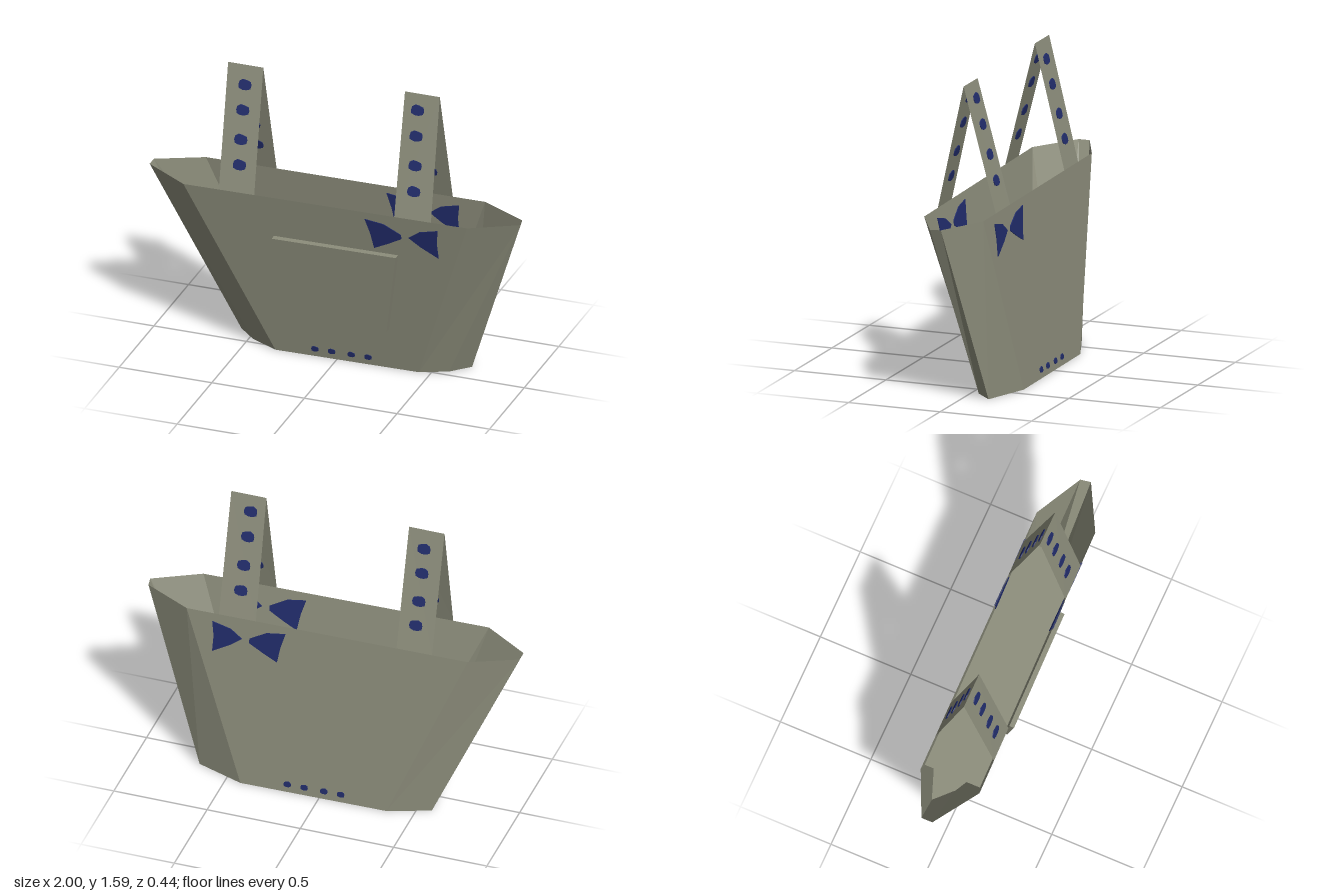
import * as THREE from 'three';

const H = 0.945; // rim height
const APEX = { y: 1.59, z: 0.05 };

// z of the sloping front and back panels at a given point
const frontZ = (x, y) => 0.03 - 0.02 * x + 0.17 * (y / H);
const backZ = (x, y) => -0.215 - 0.0133 * x + 0.095 * (y / H);

const polygon = (pts) => new THREE.Shape(pts.map(([x, y]) => new THREE.Vector2(x, y)));

// Lays a flat outline on a sloping surface, from offset z0 to z0 + depth
function drape(shape, depth, z0, surface) {
  const geo = depth > 0
    ? new THREE.ExtrudeGeometry(shape, { depth, bevelEnabled: false })
    : new THREE.ShapeGeometry(shape);
  const p = geo.attributes.position;
  for (let i = 0; i < p.count; i++) {
    p.setZ(i, p.getZ(i) + z0 + surface(p.getX(i), p.getY(i)));
  }
  geo.computeVertexNormals();
  return geo;
}

// Slightly uneven round patch
function blob(cx, cy, rx, ry) {
  const pts = [];
  for (let i = 0; i < 10; i++) {
    const a = (i / 10) * Math.PI * 2;
    const k = 1 + 0.08 * Math.sin(i * 2.3);
    pts.push([cx + rx * k * Math.cos(a), cy + ry * k * Math.sin(a)]);
  }
  return polygon(pts);
}

function facets(triangles) {
  const geo = new THREE.BufferGeometry();
  geo.setAttribute('position', new THREE.Float32BufferAttribute(triangles.flat(), 3));
  geo.computeVertexNormals();
  return geo;
}

export function createModel() {
  const bag = new THREE.Group();
  bag.name = 'toteBag';

  const canvas = new THREE.MeshStandardMaterial({ color: 0x8c8d7b, side: THREE.DoubleSide, flatShading: true });
  canvas.name = 'olive canvas';
  const paint = new THREE.MeshStandardMaterial({ color: 0x212c6b, flatShading: true });
  paint.name = 'navy paint';

  const add = (name, geo, mat, parent = bag) => {
    const mesh = new THREE.Mesh(geo, mat);
    mesh.name = name;
    parent.add(mesh);
  };

  // Eight-sided outlines of the rim and base, as x, z pairs
  const rim = [
    [-0.76, frontZ(-0.76, H)], [0.76, frontZ(0.76, H)], [1, 0.055], [0.99, 0],
    [0.74, backZ(0.74, H)], [-0.76, backZ(-0.76, H)], [-1, 0], [-1, 0.06],
  ];
  const base = [
    [-0.33, frontZ(-0.33, 0)], [0.44, frontZ(0.44, 0)], [0.58, -0.04], [0.67, -0.13],
    [0.42, backZ(0.42, 0)], [-0.36, backZ(-0.36, 0)], [-0.575, -0.13], [-0.48, -0.04],
  ];
  const walls = [];
  const floor = [];
  const n = rim.length;
  for (let i = 0; i < n; i++) {
    const j = (i + 1) % n;
    const a = [base[i][0], 0, base[i][1]];
    const b = [base[j][0], 0, base[j][1]];
    const c = [rim[j][0], H, rim[j][1]];
    const d = [rim[i][0], H, rim[i][1]];
    walls.push(...a, ...b, ...c, ...a, ...c, ...d);
    if (i > 0 && i < n - 1) floor.push(base[0][0], 0, base[0][1], ...b, ...a);
  }
  add('bagWalls', facets(walls), canvas);
  add('bagFloor', facets(floor), canvas);

  // Flat insert inside the bag
  const y = 0.7;
  const [l, r] = [-0.65, 0.66];
  const corners = [[l, y, frontZ(l, y)], [r, y, frontZ(r, y)], [r, y, backZ(r, y)], [l, y, backZ(l, y)]];
  add('innerInsert', facets([0, 1, 2, 0, 2, 3].flatMap((i) => corners[i])), canvas);

  // Front pocket
  const pocket = polygon([[-0.18, 0.24], [0.295, 0.24], [0.375, 0.71], [-0.29, 0.71]]);
  add('frontPocket', drape(pocket, 0.035, 0, frontZ), canvas);

  // Bow and row of small dots on each broad panel
  const bowLeft = [[0.21, 0.905], [0.235, 0.82], [0.25, 0.735], [0.32, 0.77], [0.4, 0.815], [0.4, 0.84], [0.31, 0.89]];
  const bowRight = [[0.44, 0.83], [0.5, 0.785], [0.595, 0.73], [0.59, 0.82], [0.6, 0.9], [0.5, 0.875]];
  for (const [side, surface] of [['front', frontZ], ['back', backZ]]) {
    const decor = new THREE.Group();
    decor.name = side + 'Decoration';
    bag.add(decor);
    for (const half of [bowLeft, bowRight]) {
      add('bowHalf', drape(polygon(half), 0.009, -0.0045, surface), paint, decor);
    }
    for (const x of [-0.115, -0.025, 0.08, 0.17]) {
      add('smallDot', drape(blob(x, 0.045, 0.02, 0.016), 0.009, -0.0045, surface), paint, decor);
    }
  }

  // Two folded handles, each with a dotted front and back strap
  const handles = [
    { name: 'rightHandle', bottom: [-0.57, -0.38], top: [-0.58, -0.39],
      dots: [[-0.48, 1.49], [-0.48, 1.362], [-0.477, 1.213], [-0.472, 1.085]] },
    { name: 'leftHandle', bottom: [0.37, 0.567], top: [0.375, 0.563],
      dots: [[0.45, 1.505], [0.453, 1.373], [0.46, 1.222], [0.463, 1.09]] },
  ];
  for (const { name, bottom, top, dots } of handles) {
    const handle = new THREE.Group();
    handle.name = name;
    bag.add(handle);
    const outline = polygon([[bottom[0], H], [bottom[1], H], [top[1], APEX.y], [top[0], APEX.y]]);
    for (const [side, panel] of [['front', frontZ], ['back', backZ]]) {
      const surface = (x, py) => THREE.MathUtils.lerp(panel(x, H), APEX.z, (py - H) / (APEX.y - H));
      add(side + 'Strap', drape(outline, 0, 0, surface), canvas, handle);
      for (const [x, dy] of dots) {
        add(side + 'Dot', drape(blob(x, dy, 0.036, 0.028), 0.009, -0.0045, surface), paint, handle);
      }
    }
  }
  return bag;
}
